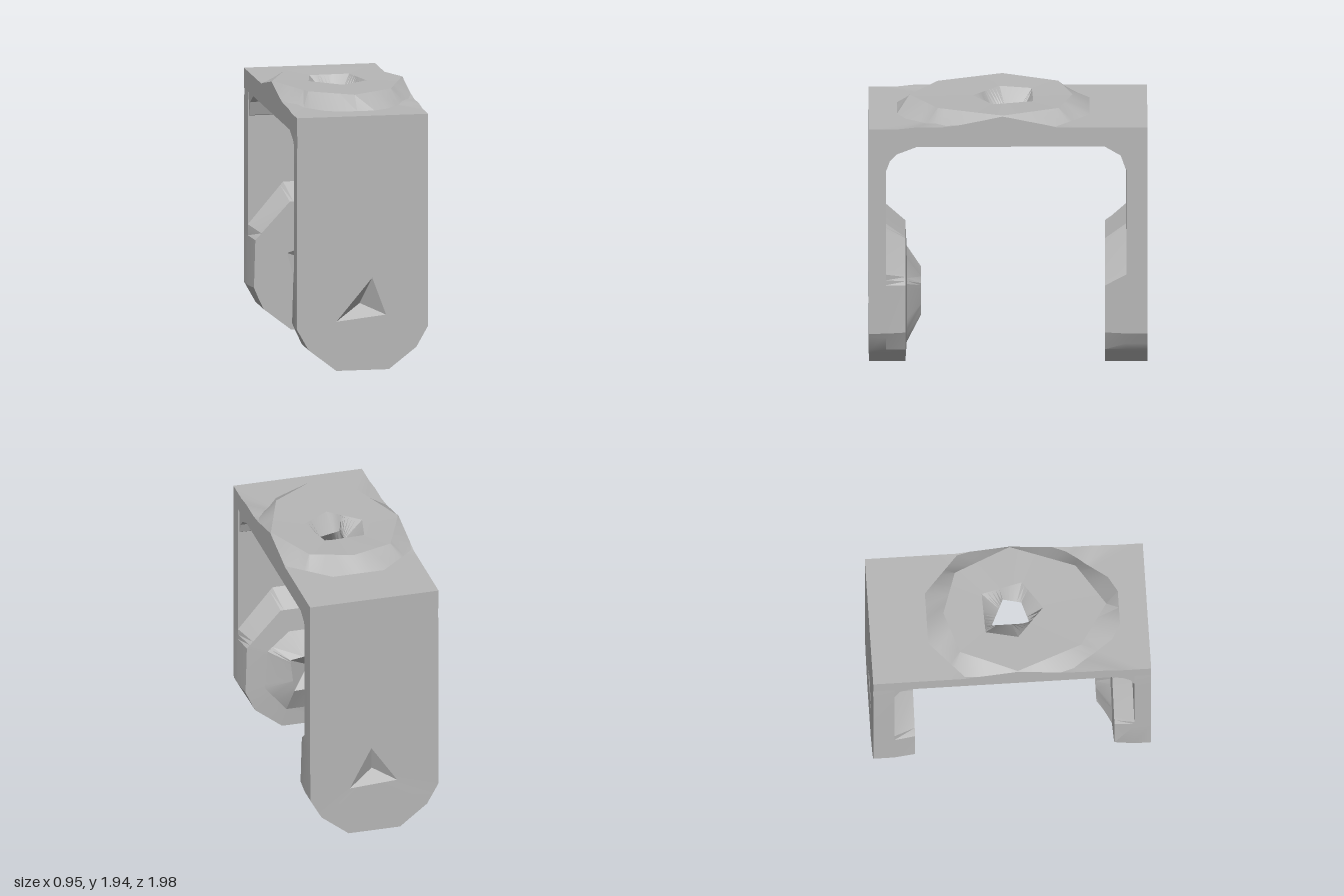
import * as THREE from 'three';
import { toCreasedNormals } from 'three/addons/utils/BufferGeometryUtils.js';

// Distance from the centre to a polygon along a direction
function reach(poly, cx, cy, a) {
  const dx = Math.cos(a), dy = Math.sin(a);
  let best = 0;
  poly.forEach((p, i) => {
    const q = poly[(i + 1) % poly.length];
    const px = p[0] - cx, py = p[1] - cy, ex = q[0] - p[0], ey = q[1] - p[1];
    const det = dx * ey - dy * ex;
    if (Math.abs(det) < 1e-9) return;
    const t = (px * ey - py * ex) / det, s = (px * dy - py * dx) / det;
    if (t > 0 && s > -1e-6 && s < 1 + 1e-6) best = Math.max(best, t);
  });
  return best;
}

// Skin a series of rings [polygon or null for a point, height or height(angle)]
function loft(rings, cx, cy, place, closed = false) {
  let angles = [];
  for (const [poly] of rings) {
    if (poly) for (const [x, y] of poly) angles.push(Math.atan2(y - cy, x - cx));
  }
  angles.sort((a, b) => a - b);
  angles = angles.filter((a, i) => i === 0 || a - angles[i - 1] > 0.01);
  const pts = rings.map(([poly, h]) => angles.map((a) => {
    const r = poly ? reach(poly, cx, cy, a) : 0;
    return place(cx + r * Math.cos(a), cy + r * Math.sin(a), typeof h === 'function' ? h(a) : h);
  }));
  const pos = [], tri = new THREE.Triangle();
  const face = (a, b, c) => {
    if (tri.set(a, b, c).getArea() > 1e-6) for (const p of [a, b, c]) pos.push(p.x, p.y, p.z);
  };
  const n = angles.length, m = rings.length;
  for (let i = 0; i < (closed ? m : m - 1); i++) {
    for (let j = 0; j < n; j++) {
      const k = (j + 1) % n, inner = pts[i], outer = pts[(i + 1) % m];
      face(inner[j], outer[j], outer[k]);
      face(inner[j], outer[k], inner[k]);
    }
  }
  const g = new THREE.BufferGeometry();
  g.setAttribute('position', new THREE.Float32BufferAttribute(pos, 3));
  return toCreasedNormals(g, 0.4);
}

export function createModel() {
  const group = new THREE.Group();
  const grey = new THREE.MeshStandardMaterial({ color: 0xb6b6b6 });
  grey.name = 'grey';
  const add = (name, geometry) => {
    const mesh = new THREE.Mesh(geometry, grey);
    mesh.name = name;
    group.add(mesh);
  };

  // Top plate with a raised round pad and a pentagonal hole (plan is x, -z)
  const W = 0.475;
  const hole = [[-0.16, 0.17], [0.13, 0.18], [0.2, -0.11], [0, -0.25], [-0.21, -0.06]];
  const throat = [[-0.07, 0.12], [0.12, 0.03], [0.09, -0.1], [-0.07, -0.15]];
  const padTop = [[0, 0.46], [0.3, 0.36], [0.47, -0.04], [0.3, -0.5], [0, -0.7],
    [-0.3, -0.5], [-0.47, -0.04], [-0.3, 0.36]];
  const padFoot = [[0.19, 0.58], [0.5, 0.3], [0.62, 0], [0.5, -0.36], [0.19, -0.79],
    [-0.19, -0.79], [-0.5, -0.36], [-0.62, 0], [-0.5, 0.3], [-0.19, 0.58]];
  const rect = [[W, 0.99], [W, -0.99], [-W, -0.99], [-W, 0.99]];
  const edge = (a) => {
    const [t, f, r] = [padTop, padFoot, rect].map((p) => reach(p, 0, 0, a));
    const base = 1.855 - (Math.sin(a) < -0.85 ? 0.015 : 0);
    return r >= f ? base : THREE.MathUtils.lerp(1.94, base, Math.max(0, (r - t) / (f - t)));
  };
  // Pad foot, kept inside the plate by pulling it to the rim
  const footInPlate = [];
  for (let i = 0; i < 40; i++) {
    const a = (i / 40) * Math.PI * 2;
    const r = Math.min(reach(padFoot, 0, 0, a), reach(rect, 0, 0, a));
    footInPlate.push([r * Math.cos(a), r * Math.sin(a)]);
  }
  add('topPlate', loft([
    [throat, 1.82], [hole, 1.935], [padTop, 1.942], [footInPlate, edge],
    [rect, edge], [rect, 1.71], [hole, 1.71],
  ], 0, 0, (x, v, h) => new THREE.Vector3(x, h, -v), true));

  // Leg outlines (x, y)
  const mirror = (half) => [...half, ...half.slice().reverse().map(([x, y]) => [-x, y])];
  const leg = mirror([[0.19, 0.005], [0.39, 0.16], [0.475, 0.31], [W, 1.71]]);
  const bossBase = mirror([[0.19, 0.005], [0.39, 0.16], [0.475, 0.31], [W, 0.75], [0.22, 1.05]]);
  const bossFace = mirror([[0.19, 0.005], [0.39, 0.16], [0.46, 0.31], [0.45, 0.66], [0.2, 0.93]]);
  const upright = (x, y, z) => new THREE.Vector3(x, y, z);

  // Front leg: triangular pit outside, boss with raised hub and pit inside
  const frontPit = [[-0.19, 0.36], [0.17, 0.4], [0.07, 0.67]];
  const hubBase = mirror([[0.16, 0.14], [0.32, 0.33], [0.3, 0.62], [0.14, 0.76]]);
  const hubRim = [[-0.15, 0.34], [0.13, 0.33], [0.16, 0.58], [-0.1, 0.62]];
  add('frontLeg', loft([
    [null, 0.88], [frontPit, 0.99], [leg, 0.99], [leg, 0.87], [bossBase, 0.87],
    [bossFace, 0.73], [hubBase, 0.72], [hubRim, 0.62], [null, 0.73],
  ], 0, 0.47, upright));

  // Back leg: flat boss with pit inside, shallow dimple outside
  const backPit = [[-0.22, 0.56], [0, 0.63], [0.11, 0.37], [-0.18, 0.41]];
  const dimple = [[-0.17, 0.38], [0.18, 0.36], [0.02, 0.66]];
  add('backLeg', loft([
    [null, -0.8], [backPit, -0.69], [bossFace, -0.69], [bossBase, -0.84], [leg, -0.84],
    [leg, -0.99], [dimple, -0.985], [null, -0.92],
  ], 0, 0.47, upright));

  // Fillets in the inner corners (z, y), swept across the width
  const fillet = (name, profile) => {
    const shape = new THREE.Shape(profile.map(([z, y]) => new THREE.Vector2(-z, y)));
    const g = new THREE.ExtrudeGeometry(shape, { depth: 2 * W - 0.02, bevelEnabled: false });
    g.translate(0, 0, -W + 0.01).rotateY(Math.PI / 2);
    add(name, g);
  };
  fillet('frontFillet', [[0.9, 1.73], [0.9, 1.5], [0.865, 1.53], [0.84, 1.6], [0.79, 1.65], [0.65, 1.705], [0.65, 1.73]]);
  fillet('backFillet', [[-0.88, 1.73], [-0.88, 1.5], [-0.835, 1.54], [-0.8, 1.64], [-0.69, 1.705], [-0.69, 1.73]]);

  return group;
}
